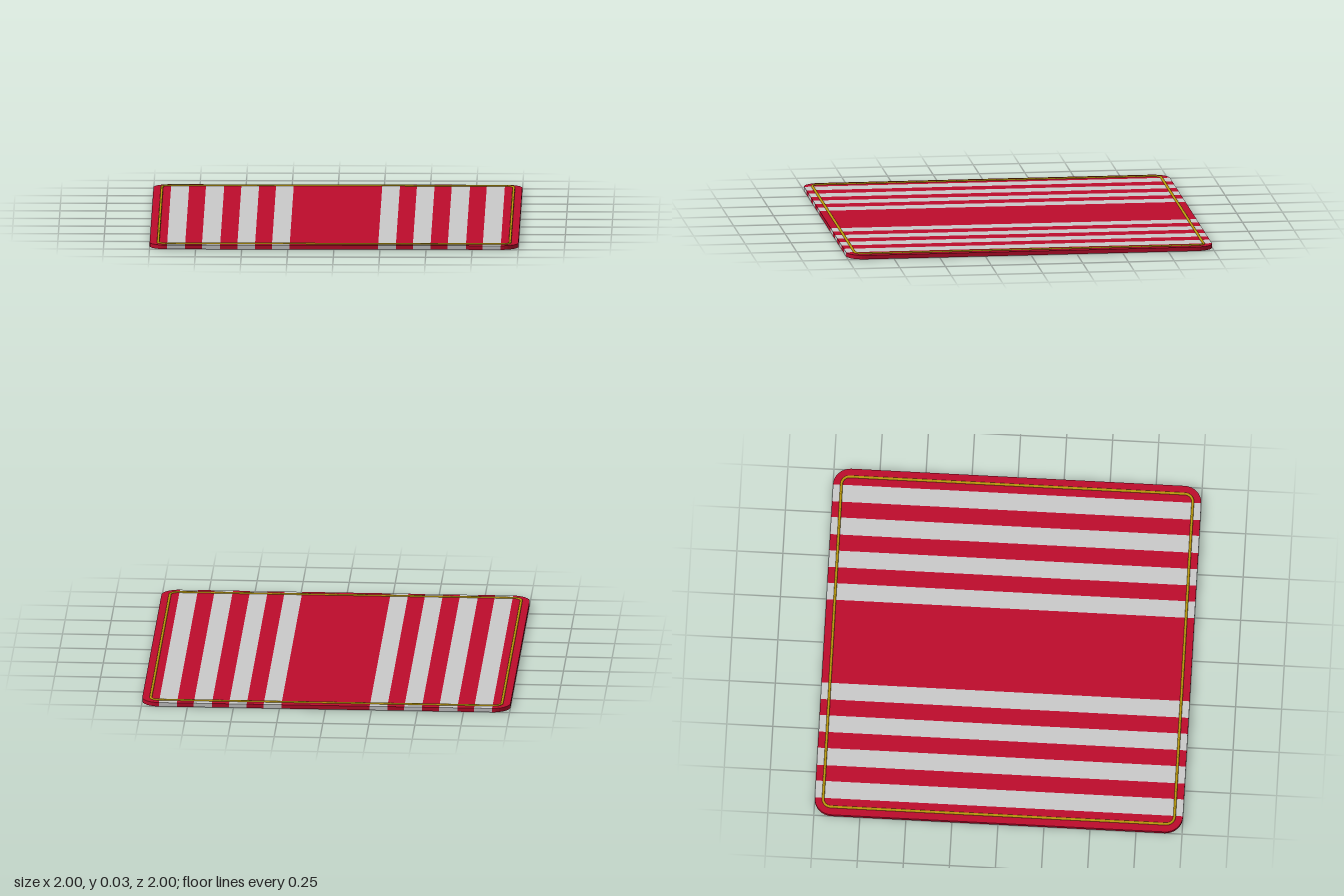
import * as THREE from 'three';

const red = new THREE.MeshStandardMaterial({ color: 0xbe0c2c });
red.name = 'crimson fabric';
const white = new THREE.MeshStandardMaterial({ color: 0xcbcbcb });
white.name = 'pale grey fabric';
const gold = new THREE.MeshStandardMaterial({ color: 0xb8960a });
gold.name = 'gold trim';

const THICK = 0.022;

// Rounded square outline of half-size h and corner radius r
function roundedSquare(h, r, Type = THREE.Shape) {
  const s = new Type();
  s.moveTo(h, -h + r);
  s.absarc(h - r, h - r, r, 0, Math.PI / 2);
  s.absarc(-h + r, h - r, r, Math.PI / 2, Math.PI);
  s.absarc(-h + r, -h + r, r, Math.PI, Math.PI * 1.5);
  s.absarc(h - r, -h + r, r, Math.PI * 1.5, Math.PI * 2);
  return s;
}

// Extrude a plan-view shape upwards
function extrudeUp(shape, options) {
  return new THREE.ExtrudeGeometry(shape, { bevelEnabled: false, ...options }).rotateX(-Math.PI / 2);
}

export function createModel() {
  const model = new THREE.Group();
  model.name = 'stripedMat';
  const add = (name, geometry, material) => {
    const mesh = new THREE.Mesh(geometry, material);
    mesh.name = name;
    model.add(mesh);
    return mesh;
  };

  // Wide centre band
  const edges = [0.24, 0.336, 0.428, 0.524, 0.617, 0.716, 0.807, 0.905];
  add('centreBand', new THREE.BoxGeometry(2 * edges[0], THICK, 2), red).position.y = THICK / 2;

  for (const side of [1, -1]) {
    const label = side > 0 ? 'left' : 'right';
    // Alternating stripes from the centre outwards
    for (let i = 0; i < edges.length - 1; i++) {
      const a = edges[i], b = edges[i + 1];
      const stripe = add(label + 'Stripe' + (i + 1),
        new THREE.BoxGeometry(b - a, THICK, 2), i % 2 ? red : white);
      stripe.position.set(side * (a + b) / 2, THICK / 2, 0);
    }
    // Outer border with rounded corners
    const r = 0.095, x = edges[7];
    const border = new THREE.Shape();
    border.moveTo(x, -1);
    border.absarc(1 - r, -1 + r, r, -Math.PI / 2, 0);
    border.absarc(1 - r, 1 - r, r, 0, Math.PI / 2);
    border.lineTo(x, 1);
    const geometry = extrudeUp(border, { depth: THICK, curveSegments: 4 });
    if (side < 0) geometry.rotateY(Math.PI);
    add(label + 'Border', geometry, red);
  }

  // Raised piping following the edge
  const ring = roundedSquare(0.955, 0.045);
  ring.holes.push(roundedSquare(0.953, 0.043, THREE.Path));
  const piping = extrudeUp(ring, {
    depth: 0.002, curveSegments: 6, bevelEnabled: true,
    bevelSize: 0.006, bevelThickness: 0.006, bevelSegments: 3,
  });
  add('goldPiping', piping, gold).position.y = 0.021;

  return model;
}
